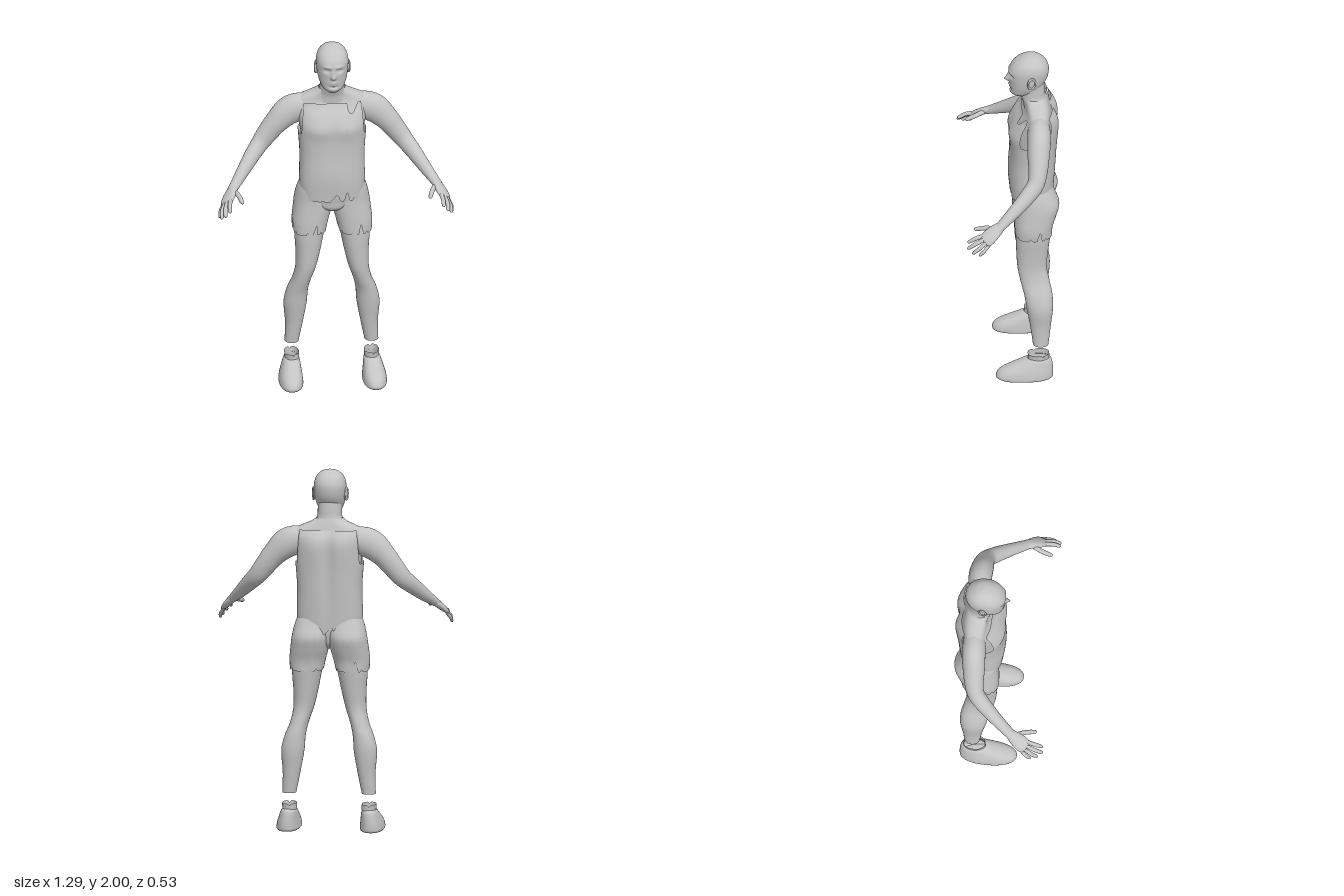
import * as THREE from 'three';

const clay = new THREE.MeshStandardMaterial({ color: 0xc4c4c4, side: THREE.DoubleSide });
clay.name = 'clay grey';

// Smooth value of every column of rows at key t (key = first column)
function sample(rows, t) {
  let i = 0;
  while (i < rows.length - 2 && t > rows[i + 1][0]) i++;
  const slope = (k, c) => {
    const a = rows[Math.max(0, k - 1)], b = rows[Math.min(rows.length - 1, k + 1)];
    return (b[c] - a[c]) / (b[0] - a[0]);
  };
  const h = rows[i + 1][0] - rows[i][0];
  const f = Math.min(1, Math.max(0, (t - rows[i][0]) / h)), f2 = f * f, f3 = f2 * f;
  return rows[i].map((v, c) => (2 * f3 - 3 * f2 + 1) * v + (f3 - 2 * f2 + f) * h * slope(i, c)
    + (3 * f2 - 2 * f3) * rows[i + 1][c] + (f3 - f2) * h * slope(i + 1, c));
}

// Closed tube surface from point(u angle, v 0..1), with optional flat end caps
function skin(name, nu, nv, point, capStart, capEnd) {
  const pos = [], idx = [];
  const ring = v => {
    const start = pos.length / 3;
    for (let i = 0; i < nu; i++) pos.push(...point(i / nu * Math.PI * 2, v));
    return start;
  };
  for (let j = 0; j <= nv; j++) ring(j / nv);
  for (let j = 0; j < nv; j++) for (let i = 0; i < nu; i++) {
    const a = j * nu + i, b = j * nu + (i + 1) % nu;
    idx.push(a, a + nu, b, b, a + nu, b + nu);
  }
  const cap = (v, flip) => {
    const s = ring(v), centre = [0, 0, 0];
    for (let i = 0; i < nu; i++) for (let k = 0; k < 3; k++) centre[k] += pos[(s + i) * 3 + k] / nu;
    pos.push(...centre);
    for (let i = 0; i < nu; i++) {
      const a = s + i, b = s + (i + 1) % nu;
      idx.push(s + nu, flip ? a : b, flip ? b : a);
    }
  };
  if (capStart) cap(0, true);
  if (capEnd) cap(1, false);
  const g = new THREE.BufferGeometry();
  g.setAttribute('position', new THREE.Float32BufferAttribute(pos, 3));
  g.setIndex(idx);
  g.computeVertexNormals();
  const m = new THREE.Mesh(g, clay);
  m.name = name;
  return m;
}

// Upright form: rows [y, x0, x1, z0, z1]; the top and bottom edges may vary with u
function loft(name, rows, o = {}) {
  const { n = 2.2, nu = 48, nv = 32, s = 1, low = () => rows[0][0], high = () => rows[rows.length - 1][0], mod } = o;
  const pw = v => Math.sign(v) * Math.abs(v) ** (2 / n);
  return skin(name, nu, nv, (u, v) => {
    const y = low(u) + (high(u) - low(u)) * v;
    const [, x0, x1, z0, z1] = sample(rows, y);
    const p = [s * (x0 + x1) / 2 + (x1 - x0) / 2 * pw(Math.cos(u)), y, (z0 + z1) / 2 + (z1 - z0) / 2 * pw(Math.sin(u))];
    if (mod) p[2] += mod(p[0], y, Math.sin(u));
    return p;
  }, o.capLow, o.capHigh);
}

// Limb along a path: rows [x, y, z, width radius, thickness radius]
function limb(name, path, s, nu = 24, nv = 40, roll = 0) {
  const rows = path.map((r, i) => [i, ...r]), last = rows.length - 1;
  const centre = t => { const r = sample(rows, t); return new THREE.Vector3(s * r[1], r[2], r[3]); };
  return skin(name, nu, nv, (u, v) => {
    const t = v * last, r = sample(rows, t);
    const T = centre(Math.min(last, t + 0.02)).sub(centre(Math.max(0, t - 0.02))).normalize();
    const B = new THREE.Vector3(-T.z, 0, T.x).normalize(), N = B.clone().cross(T);
    B.applyAxisAngle(T, -roll * s);
    N.applyAxisAngle(T, -roll * s);
    return centre(t).addScaledVector(B, Math.cos(u) * r[4]).addScaledVector(N, Math.sin(u) * r[5]).toArray();
  }, true, true);
}

const bump = (x, y, cx, cy, w, h) => Math.exp(-(((x - cx) / w) ** 2) - ((y - cy) / h) ** 2);
const smooth = THREE.MathUtils.smoothstep;
const sym = rows => rows.map(([y, w, z0, z1]) => [y, -w, w, z0, z1]);
const tear = (u, k) => Math.max(0, Math.sin(k * u) * Math.sin((k + 4) * u + 1)) ** 2;

function face(x, y, front) {
  if (front < 0.2) return 0;
  const ax = Math.abs(x);
  return 0.026 * bump(x, y, 0, 1.845, 0.013, 0.014) + 0.012 * bump(x, y, 0, 1.868, 0.01, 0.02)
    - 0.014 * bump(ax, y, 0.033, 1.88, 0.018, 0.012) + 0.006 * bump(ax, y, 0.03, 1.902, 0.024, 0.009)
    + 0.004 * bump(ax, y, 0.033, 1.88, 0.009, 0.006) + 0.007 * bump(x, y, 0, 1.811, 0.02, 0.007)
    + 0.006 * bump(x, y, 0, 1.798, 0.018, 0.006) - 0.006 * bump(x, y, 0, 1.784, 0.025, 0.007)
    + 0.006 * bump(x, y, 0, 1.765, 0.022, 0.012);
}

export function createModel() {
  const model = new THREE.Group();
  model.name = 'standingMan';

  // Head and neck
  model.add(loft('head', sym([[1.743, 0.026, -0.08, -0.02], [1.765, 0.055, -0.12, -0.004], [1.8, 0.073, -0.165, 0],
    [1.84, 0.083, -0.195, 0.003], [1.88, 0.087, -0.209, 0.006], [1.92, 0.087, -0.211, 0.002], [1.955, 0.077, -0.197, -0.02],
    [1.98, 0.057, -0.172, -0.052], [1.994, 0.034, -0.147, -0.083], [2, 0.002, -0.117, -0.113]]),
  { nu: 96, nv: 90, mod: face, capLow: true, capHigh: true }));
  model.add(loft('neck', sym([[1.66, 0.1, -0.21, -0.075], [1.7, 0.083, -0.208, -0.07], [1.74, 0.068, -0.193, -0.055],
    [1.78, 0.066, -0.19, -0.045], [1.83, 0.066, -0.185, -0.04]])));

  // Bare chest and shoulders
  model.add(loft('upperBody', sym([[1.12, 0.165, -0.225, -0.015], [1.4, 0.165, -0.235, -0.015], [1.52, 0.178, -0.235, -0.018],
    [1.6, 0.2, -0.232, -0.05], [1.65, 0.212, -0.222, -0.077], [1.678, 0.19, -0.215, -0.085], [1.695, 0.15, -0.21, -0.083],
    [1.712, 0.105, -0.205, -0.08], [1.735, 0.072, -0.196, -0.07]]), { n: 2.3 }));

  // Torn sleeveless shirt with cut-away sides
  model.add(loft('shirt', sym([[1.09, 0.172, -0.232, 0], [1.2, 0.179, -0.24, 0.004], [1.35, 0.177, -0.25, 0.002],
    [1.46, 0.184, -0.255, 0.003], [1.53, 0.19, -0.257, 0.004], [1.6, 0.19, -0.257, -0.025], [1.64, 0.19, -0.247, -0.054],
    [1.68, 0.19, -0.222, -0.074]]), {
    n: 2.7, nu: 144, nv: 48,
    low: u => 1.1 + 0.06 * tear(u, 9),
    high: u => {
      const c = Math.cos(u), top = Math.sin(u) > 0 ? 1.66 : 1.676;
      const notch = Math.sin(u) > 0 ? 0.05 * smooth(c, 0.3, 0.36) * (1 - smooth(c, 0.45, 0.68)) : 0;
      return top - notch - (top - 1.49) * smooth(Math.abs(c), 0.76, 0.9);
    },
    mod: (x, y, f) => f > 0
      ? f * (0.008 * bump(Math.abs(x), y, 0.085, 1.52, 0.06, 0.06) + 0.008 * bump(x, y, 0, 1.25, 0.12, 0.1))
      : -f * (0.014 * bump(x, y, 0, 1.5, 0.035, 0.3) - 0.008 * bump(Math.abs(x), y, 0.08, 1.58, 0.06, 0.1)),
  }));

  // Hips joining the two shorts legs
  model.add(loft('hips', sym([[1.015, 0.02, -0.17, -0.07], [1.04, 0.075, -0.2, -0.03], [1.08, 0.15, -0.215, -0.02],
    [1.14, 0.18, -0.22, -0.012], [1.2, 0.168, -0.22, -0.014]]), { n: 2.4, capLow: true }));

  for (const s of [1, -1]) {
    const side = new THREE.Group();
    side.name = s > 0 ? 'leftSide' : 'rightSide';
    model.add(side);

    // Ear
    const ear = new THREE.Mesh(new THREE.SphereGeometry(1, 20, 14), clay);
    ear.name = 'ear';
    ear.scale.set(0.008, 0.035, 0.021);
    ear.position.set(s * 0.087, 1.862, -0.112);
    ear.rotation.set(-0.15, s * 0.3, 0);
    const rim = new THREE.Mesh(new THREE.TorusGeometry(0.021, 0.005, 8, 24), clay);
    rim.name = 'earRim';
    rim.scale.y = 1.5;
    rim.position.set(s * 0.09, 1.864, -0.114);
    rim.rotation.set(0, Math.PI / 2 + s * 0.3, 0);
    side.add(ear, rim);

    // Shorts leg with a ragged hem
    side.add(loft('shortsLeg', [[0.885, 0.036, 0.216, -0.222, -0.018], [0.95, 0.022, 0.22, -0.228, -0.018],
      [1.02, 0.004, 0.213, -0.25, -0.02], [1.08, -0.004, 0.205, -0.264, -0.022], [1.14, -0.004, 0.192, -0.243, -0.02],
      [1.2, 0, 0.17, -0.22, -0.02]], { s, n: 2.35, nu: 96, low: u => 0.893 + 0.06 * tear(u, 6) }));

    // Bare leg, cut off above the ankle
    side.add(loft('leg', [[0.215, 0.18, 0.256, -0.2, -0.115], [0.33, 0.157, 0.254, -0.213, -0.1],
      [0.45, 0.136, 0.262, -0.226, -0.08], [0.53, 0.13, 0.244, -0.222, -0.068], [0.6, 0.115, 0.216, -0.208, -0.05],
      [0.68, 0.088, 0.2, -0.194, -0.034], [0.78, 0.064, 0.2, -0.202, -0.028], [0.88, 0.044, 0.206, -0.215, -0.025],
      [1.02, 0.012, 0.2, -0.23, -0.028]], { s, nv: 48, capLow: true }));

    // Slip-on shoe and its open collar
    side.add(loft('shoe', [[0.004, 0.172, 0.288, -0.215, 0.075], [0.012, 0.163, 0.295, -0.223, 0.086],
      [0.03, 0.163, 0.294, -0.225, 0.086], [0.055, 0.166, 0.288, -0.225, 0.066], [0.08, 0.17, 0.279, -0.223, 0.018],
      [0.1, 0.173, 0.271, -0.22, -0.028], [0.118, 0.178, 0.263, -0.214, -0.065], [0.127, 0.186, 0.255, -0.204, -0.085]],
    { s, n: 2.3, capLow: true }));
    side.add(loft('shoeCollar', [[0.1, 0.182, 0.258, -0.205, -0.085], [0.13, 0.178, 0.257, -0.204, -0.088],
      [0.158, 0.179, 0.26, -0.206, -0.086]], { s, nv: 6, high: u => 0.157 - 0.014 * tear(u, 3) }));

    // Arm from the shoulder to the wrist
    side.add(limb('arm', [[0.1, 1.625, -0.15, 0.05, 0.055], [0.18, 1.612, -0.15, 0.062, 0.078],
      [0.24, 1.586, -0.148, 0.064, 0.08], [0.3, 1.53, -0.142, 0.06, 0.066], [0.35, 1.468, -0.137, 0.053, 0.058],
      [0.395, 1.41, -0.122, 0.046, 0.052], [0.44, 1.362, -0.075, 0.042, 0.046], [0.5, 1.297, 0.005, 0.034, 0.036],
      [0.552, 1.243, 0.08, 0.028, 0.023], [0.565, 1.23, 0.1, 0.028, 0.02]], s, 32, 64));

    // Hand
    side.add(limb('palm', [[0.545, 1.25, 0.07, 0.024, 0.02], [0.562, 1.232, 0.098, 0.035, 0.021],
      [0.582, 1.209, 0.133, 0.043, 0.019], [0.598, 1.188, 0.16, 0.041, 0.015], [0.604, 1.18, 0.17, 0.03, 0.008]], s, 24, 24, 0.45));
    const fingers = [
      ['thumb', [0.552, 1.235, 0.105], [0.528, 1.222, 0.16], [0.512, 1.205, 0.222], 0.013],
      ['indexFinger', [0.572, 1.208, 0.155], [0.583, 1.194, 0.212], [0.585, 1.168, 0.26], 0.0115],
      ['middleFinger', [0.591, 1.196, 0.16], [0.607, 1.173, 0.215], [0.61, 1.143, 0.262], 0.0115],
      ['ringFinger', [0.605, 1.183, 0.153], [0.624, 1.152, 0.197], [0.628, 1.122, 0.235], 0.011],
      ['littleFinger', [0.613, 1.172, 0.14], [0.632, 1.14, 0.17], [0.636, 1.113, 0.197], 0.0095],
    ];
    for (const [name, a, b, c, r] of fingers) {
      const at = (p, q, f) => p.map((v, k) => v + (q[k] - v) * f);
      side.add(limb(name, [[...a, r, r], [...b, r, r], [...at(b, c, 0.7), r * 0.9, r * 0.85],
        [...at(b, c, 0.92), r * 0.6, r * 0.55], [...c, 0.001, 0.001]], s, 12, 20));
    }
  }
  return model;
}
